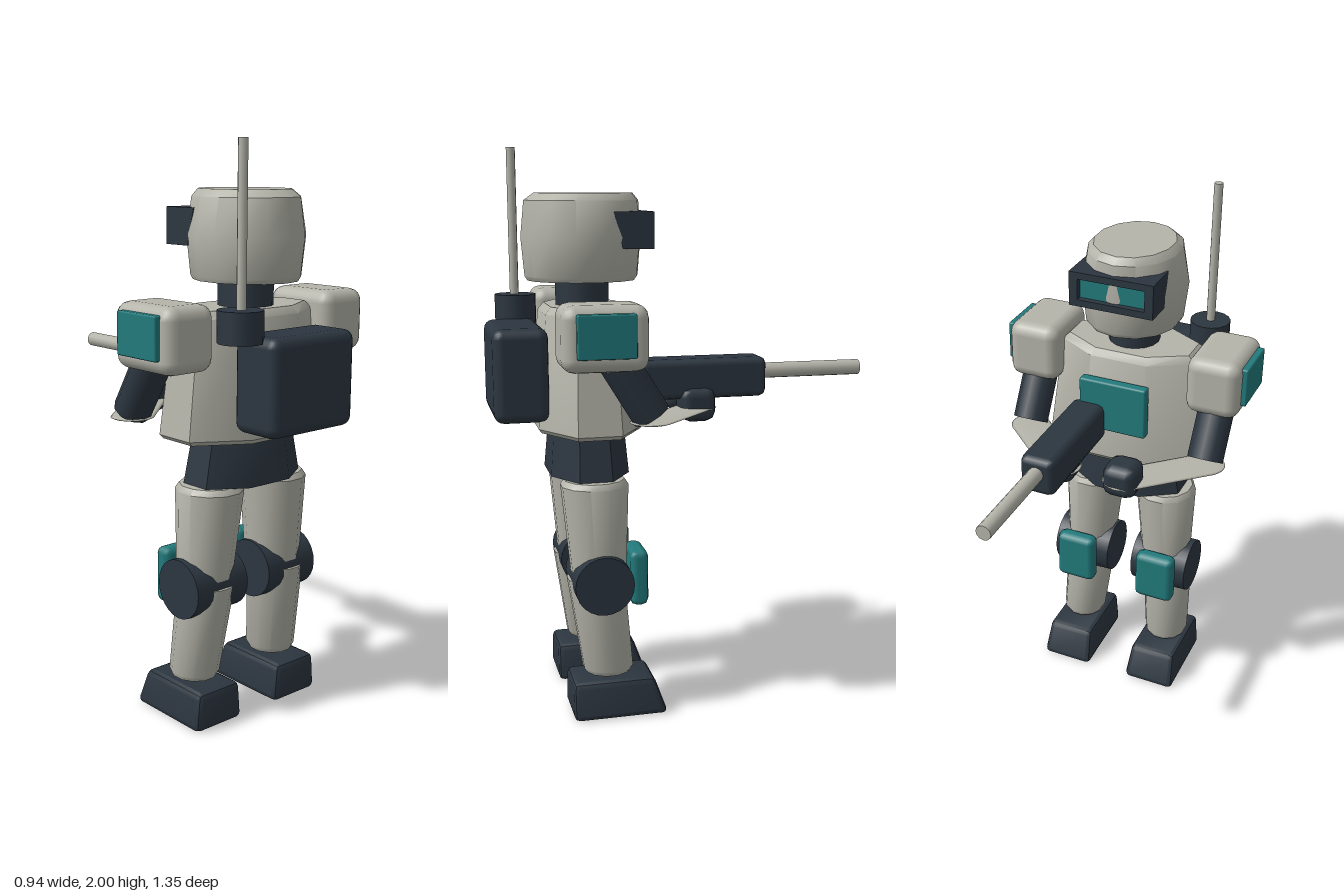
import * as THREE from 'three';
import { toCreasedNormals } from 'three/addons/utils/BufferGeometryUtils.js';
import { RoundedBoxGeometry } from 'three/addons/geometries/RoundedBoxGeometry.js';

const material = (name, color) => {
  const m = new THREE.MeshStandardMaterial({ color });
  m.name = name;
  return m;
};

// Stacks elliptical rings [y, rx, rz, cx, cz], bottom to top, with closed ends; rx and rz reach the flats
function loft(rings, sides, crease = 0.6) {
  const pos = [], index = [];
  const k = 1 / Math.cos(Math.PI / sides);
  for (const [y, rx, rz, cx, cz] of rings) {
    for (let i = 0; i < sides; i++) {
      const a = ((i + 0.5) / sides) * Math.PI * 2;
      pos.push(cx + Math.cos(a) * rx * k, y, cz + Math.sin(a) * rz * k);
    }
  }
  const last = rings.length - 1;
  for (const r of [0, last]) pos.push(rings[r][3], rings[r][0], rings[r][4]);
  const bottom = rings.length * sides;
  for (let i = 0; i < sides; i++) {
    const j = (i + 1) % sides;
    for (let r = 0; r < last; r++) {
      const a = r * sides + i, b = r * sides + j;
      index.push(a, a + sides, b, b, a + sides, b + sides);
    }
    index.push(bottom, i, j, bottom + 1, last * sides + j, last * sides + i);
  }
  const g = new THREE.BufferGeometry();
  g.setAttribute('position', new THREE.Float32BufferAttribute(pos, 3));
  g.setIndex(index);
  return toCreasedNormals(g, crease);
}

export function createModel() {
  const model = new THREE.Group();
  model.name = 'robot';
  const light = material('light grey armour', 0xb4b4aa);
  const dark = material('dark slate', 0x2c3640);
  const teal = material('teal', 0x227a7c);

  const add = (name, geometry, mat, x = 0, y = 0, z = 0, parent = model) => {
    const mesh = new THREE.Mesh(geometry, mat);
    mesh.name = name;
    mesh.position.set(x, y, z);
    parent.add(mesh);
    return mesh;
  };
  const box = (w, h, d, r, seg = 2) => new RoundedBoxGeometry(w, h, d, seg, r);
  // Turns a mesh whose length lies along y so it runs from a to b
  const span = (mesh, a, b) => {
    mesh.position.copy(a).add(b).multiplyScalar(0.5);
    mesh.quaternion.setFromUnitVectors(new THREE.Vector3(0, 1, 0), b.clone().sub(a).normalize());
  };

  // Body
  add('pelvis', loft([[0.855, 0.22, 0.14, 0, 0.33], [1.03, 0.185, 0.125, 0, 0.33]], 8), dark);
  add('torso', loft([
    [1.02, 0.295, 0.175, 0, 0.33], [1.035, 0.31, 0.185, 0, 0.33],
    [1.43, 0.26, 0.15, 0, 0.33], [1.455, 0.235, 0.13, 0, 0.33],
  ], 8), light);
  add('chestPanel', box(0.26, 0.2, 0.04, 0.008), teal, 0, 1.26, 0.145);
  add('neck', new THREE.CylinderGeometry(0.095, 0.095, 0.14, 16), dark, 0, 1.49, 0.335);

  // Head
  add('head', loft([
    [1.54, 0.165, 0.186, 0, 0.335], [1.555, 0.172, 0.196, 0, 0.335],
    [1.69, 0.187, 0.207, 0, 0.335], [1.815, 0.163, 0.197, 0, 0.332],
    [1.84, 0.14, 0.17, 0, 0.325],
  ], 14), light);

  // Visor: a deep frame around a recessed window
  const rect = (P, w, h) => new P([[-w, -h], [w, -h], [w, h], [-w, h]].map(([x, y]) => new THREE.Vector2(x, y)));
  const frame = rect(THREE.Shape, 0.157, 0.063);
  frame.holes.push(rect(THREE.Path, 0.125, 0.038));
  const frameGeo = new THREE.ExtrudeGeometry(frame, { depth: 0.14, bevelEnabled: false });
  const fp = frameGeo.attributes.position;
  for (let i = 0; i < fp.count; i++) if (fp.getZ(i) > 0.1 && fp.getY(i) < 0) fp.setZ(i, 0.11);
  frameGeo.computeVertexNormals();
  add('visorFrame', frameGeo, dark, 0, 1.715, 0.107);
  add('visorWindow', new THREE.BoxGeometry(0.26, 0.08, 0.009), teal, 0, 1.715, 0.134);

  // Backpack and aerial
  add('backpack', box(0.38, 0.325, 0.19, 0.035), dark, 0, 1.228, 0.575);
  add('aerialBase', new THREE.CylinderGeometry(0.075, 0.075, 0.105, 16), dark, -0.22, 1.423, 0.547);
  add('aerial', new THREE.CylinderGeometry(0.016, 0.016, 0.54, 10), light, -0.22, 1.73, 0.55);

  // Foot: a bevelled block with a sloping toe
  const foot = box(0.21, 0.14, 0.34, 0.02, 1);
  const p = foot.attributes.position;
  for (let i = 0; i < p.count; i++) {
    const up = p.getY(i) / 0.14 + 0.5;
    if (p.getZ(i) < 0) p.setZ(i, p.getZ(i) + up * 0.05);
    p.setX(i, p.getX(i) * (1 - 0.12 * up));
  }
  const footGeo = toCreasedNormals(foot, 0.4);

  for (const s of [1, -1]) {
    // Legs
    const leg = new THREE.Group();
    leg.name = 'leg';
    model.add(leg);
    add('thigh', loft([
      [0.47, 0.09, 0.093, s * 0.166, 0.317],
      [0.835, 0.113, 0.117, s * 0.15, 0.327], [0.855, 0.1, 0.104, s * 0.15, 0.327],
    ], 12), light, 0, 0, 0, leg);
    add('knee', new THREE.CylinderGeometry(0.105, 0.105, 0.228, 24), dark, s * 0.166, 0.495, 0.315, leg)
      .rotation.z = Math.PI / 2;
    add('kneePad', box(0.16, 0.205, 0.065, 0.025, 1), teal, s * 0.17, 0.502, 0.183, leg);
    add('shin', loft([
      [0.155, 0.076, 0.08, s * 0.187, 0.292], [0.17, 0.083, 0.088, s * 0.187, 0.293],
      [0.5, 0.096, 0.1, s * 0.167, 0.33],
    ], 12), light, 0, 0, 0, leg);
    add('foot', footGeo, dark, s * 0.186, 0.07, 0.26, leg);

    // Arms
    const arm = new THREE.Group();
    arm.name = 'arm';
    model.add(arm);
    add('shoulder', box(0.2, 0.22, 0.29, 0.045), light, s * 0.352, 1.38, 0.33, arm);
    add('shoulderPlate', box(0.03, 0.145, 0.195, 0.006, 1), teal, s * 0.456, 1.392, 0.332, arm);
    const elbow = new THREE.Vector3(s * 0.355, 1.11, 0.165);
    const top = new THREE.Vector3(s * 0.355, 1.38, 0.33);
    span(add('upperArm', new THREE.CylinderGeometry(0.066, 0.066, top.distanceTo(elbow), 10), dark, 0, 0, 0, arm), top, elbow);

    // Forearm: a flat strip with round ends, lying nearly level
    const run = Math.hypot(0.235, 0.215);
    const strip = new THREE.CapsuleGeometry(0.074, run, 6, 12);
    strip.rotateX(Math.PI / 2).scale(1, 0.08, 1);
    add('forearm', strip, light, s * 0.238, 1.088, 0.058, arm).rotation.y = Math.atan2(s * 0.235, 0.215);
    add('hand', box(0.128, 0.124, 0.128, 0.036, 1), dark, s * 0.123, 1.103, -0.05, arm);
  }

  // Rifle
  add('rifleBody', box(0.13, 0.143, 0.46, 0.025, 1), dark, 0.095, 1.193, -0.075);
  add('rifleBarrel', new THREE.CylinderGeometry(0.028, 0.028, 0.4, 12), light, 0.095, 1.207, -0.477)
    .rotation.x = Math.PI / 2;

  return model;
}
